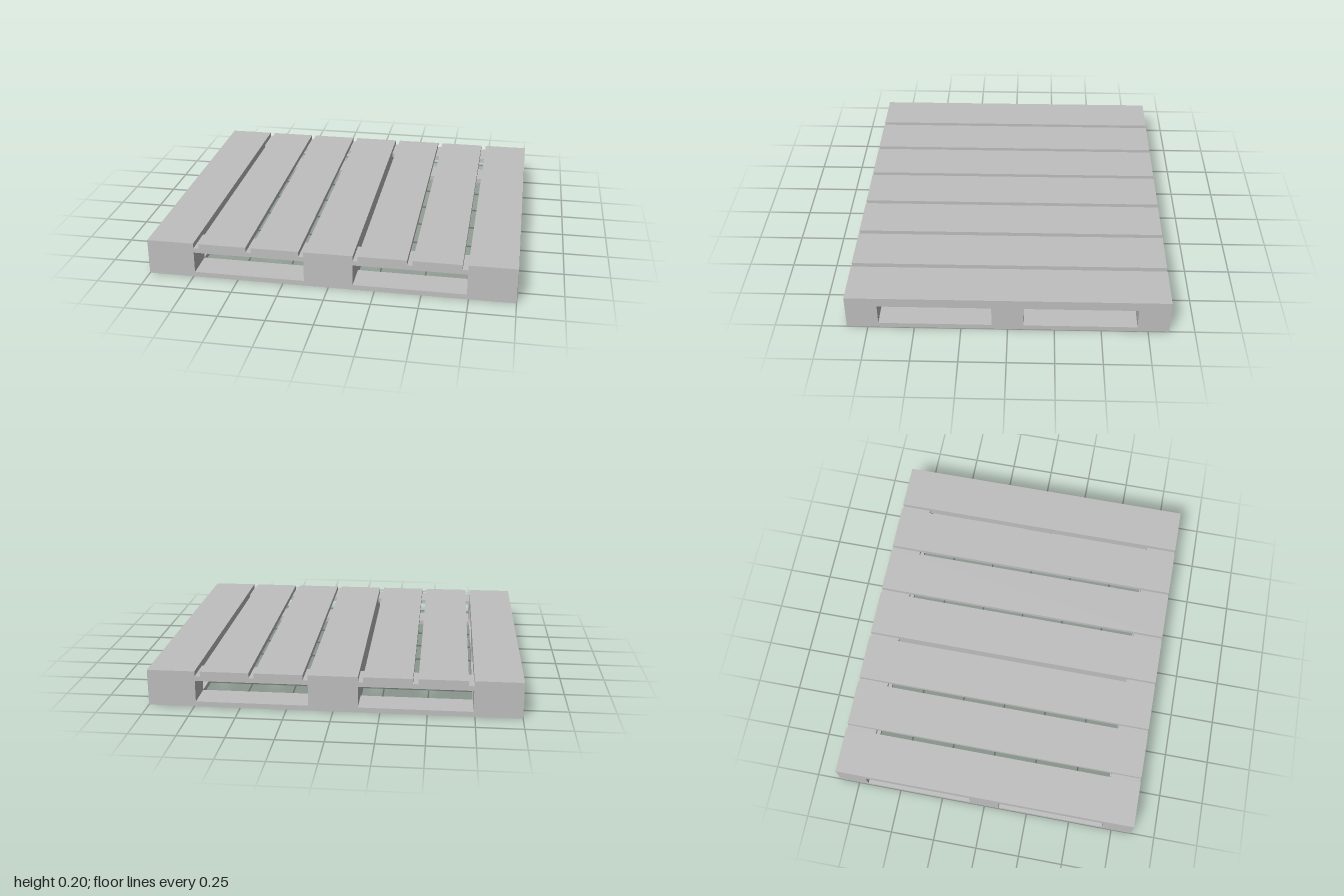
import * as THREE from 'three';

export function createModel() {
  const model = new THREE.Group();
  model.name = 'pallet';
  const grey = new THREE.MeshStandardMaterial({ color: 0xbfbfbf });
  grey.name = 'light grey';

  // Half extents, layer heights and opening edges
  const X = 1, Z = 0.863;
  const baseTop = 0.028, blockTop = 0.146, beamTop = 0.172, deckTop = 0.2;
  const railIn = 0.741, spine = 0.133, endIn = 0.692, midBlock = 0.086;

  // Box given by its limits on each axis
  function box(name, x0, x1, y0, y1, z0, z1) {
    const mesh = new THREE.Mesh(new THREE.BoxGeometry(x1 - x0, y1 - y0, z1 - z0), grey);
    mesh.position.set((x0 + x1) / 2, (y0 + y1) / 2, (z0 + z1) / 2);
    mesh.name = name;
    model.add(mesh);
  }

  function rectangle(path, x0, x1, z0, z1) {
    path.moveTo(x0, z0);
    path.lineTo(x1, z0);
    path.lineTo(x1, z1);
    path.lineTo(x0, z1);
    path.closePath();
    return path;
  }

  // Bottom frame with two long openings
  const outline = rectangle(new THREE.Shape(), -X, X, -Z, Z);
  outline.holes.push(
    rectangle(new THREE.Path(), -railIn, -spine, -endIn, endIn),
    rectangle(new THREE.Path(), spine, railIn, -endIn, endIn)
  );
  const frameGeometry = new THREE.ExtrudeGeometry(outline, { depth: baseTop, bevelEnabled: false });
  frameGeometry.rotateX(-Math.PI / 2);
  const frame = new THREE.Mesh(frameGeometry, grey);
  frame.name = 'bottomFrame';
  model.add(frame);

  // Solid centre stringer
  box('centreStringer', -spine, spine, baseTop, beamTop, -Z, Z);

  for (const [x0, x1] of [[-X, -railIn], [railIn, X]]) {
    // Side blocks and the rail above them
    box('cornerBlock', x0, x1, baseTop, blockTop, -Z, -endIn);
    box('middleBlock', x0, x1, baseTop, blockTop, -midBlock, midBlock);
    box('cornerBlock', x0, x1, baseTop, blockTop, endIn, Z);
    box('sideRail', x0, x1, blockTop, beamTop, -Z, Z);
  }

  // Cross beams between the rails and the stringer, at both ends
  for (const [z0, z1] of [[-Z, -endIn], [endIn, Z]]) {
    box('crossBeam', -railIn, -spine, blockTop, beamTop, z0, z1);
    box('crossBeam', spine, railIn, blockTop, beamTop, z0, z1);
  }

  // Seven deck boards, the outer ones the same width as the rails
  const boards = [
    [-X, -railIn], [-0.712, -0.45], [-0.422, -0.16], [-spine, spine],
    [0.16, 0.422], [0.45, 0.712], [railIn, X],
  ];
  for (const [x0, x1] of boards) box('deckBoard', x0, x1, beamTop, deckTop, -Z, Z);

  return model;
}
